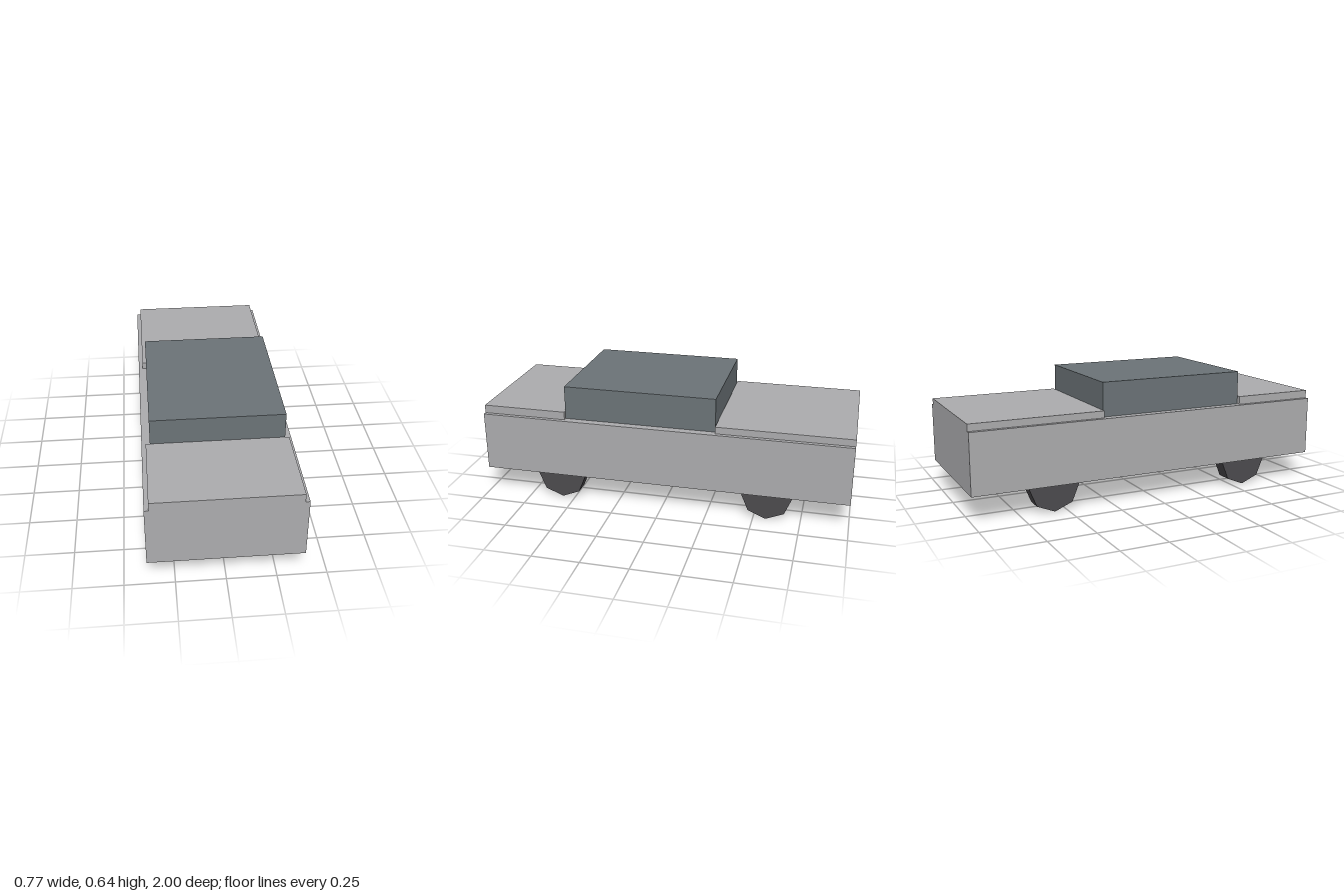
import * as THREE from 'three';

const material = (name, color) => {
  const m = new THREE.MeshStandardMaterial({ color, flatShading: true });
  m.name = name;
  return m;
};

export function createModel() {
  const car = new THREE.Group();
  car.name = 'car';
  const paint = material('silver paint', 0xacacae);
  const glass = material('slate cabin', 0x6b7377);
  const rubber = material('dark rubber', 0x4c4b4e);

  // Box given by half width, height range and depth range
  const block = (name, mat, halfX, y0, y1, z0, z1) => {
    const mesh = new THREE.Mesh(new THREE.BoxGeometry(halfX * 2, y1 - y0, z1 - z0), mat);
    mesh.position.set(0, (y0 + y1) / 2, (z0 + z1) / 2);
    mesh.name = name;
    car.add(mesh);
  };

  block('body', paint, 0.385, 0.139, 0.46, -1, 1);
  block('hood', paint, 0.363, 0.46, 0.504, 0.54, 1);
  block('trunkLid', paint, 0.363, 0.46, 0.497, -1, -0.285);
  block('cabin', glass, 0.342, 0.46, 0.642, -0.283, 0.54);

  // Eight-sided wheels, half hidden in the body
  const wheelGeometry = new THREE.CylinderGeometry(0.136, 0.136, 0.086, 8).rotateZ(Math.PI / 2);
  for (const [end, z] of [['front', 0.57], ['rear', -0.567]]) {
    for (const [side, x] of [['Left', 0.329], ['Right', -0.329]]) {
      const wheel = new THREE.Mesh(wheelGeometry, rubber);
      wheel.position.set(x, 0.136, z);
      wheel.name = `${end}${side}Wheel`;
      car.add(wheel);
    }
  }
  return car;
}
